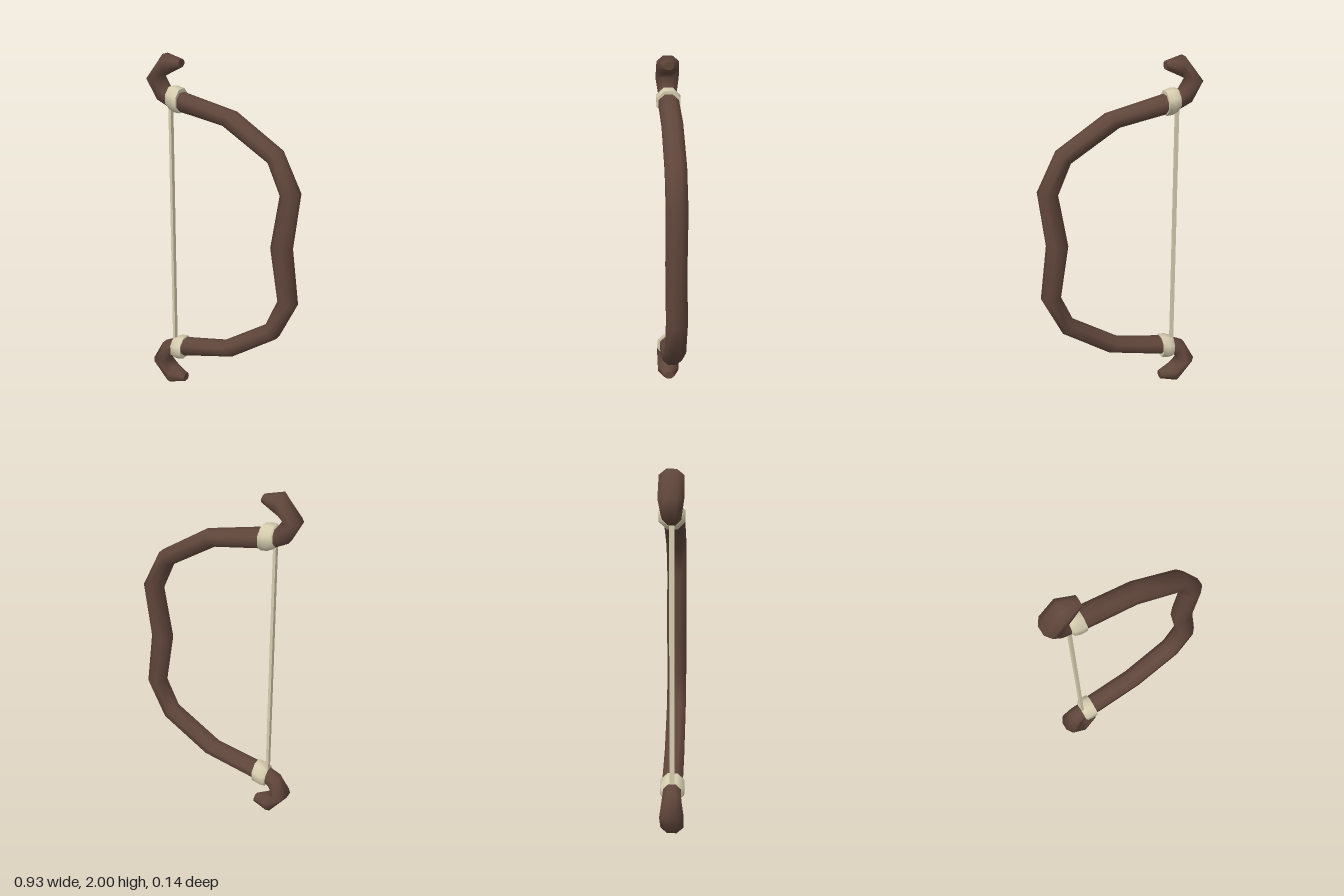
import * as THREE from 'three';

const SIDES = 8;

// Smooth capped tube through rings [leftX, leftY, rightX, rightY, halfDepth],
// where left and right are the two flanks seen along the direction of travel.
function sweep(rings) {
  const pos = [], idx = [];
  const k = 1 / Math.cos(Math.PI / SIDES);
  const ringPoints = ([lx, ly, rx, ry, d]) => {
    const out = [];
    for (let i = 0; i < SIDES; i++) {
      const a = ((i + 0.5) / SIDES) * Math.PI * 2;
      const c = Math.cos(a) * k * 0.5;
      out.push([(lx + rx) / 2 + (rx - lx) * c, (ly + ry) / 2 + (ry - ly) * c, Math.sin(a) * k * d]);
    }
    return out;
  };
  rings.forEach((r) => ringPoints(r).forEach((p) => pos.push(...p)));
  for (let r = 0; r < rings.length - 1; r++) {
    for (let i = 0; i < SIDES; i++) {
      const j = (i + 1) % SIDES;
      const a = r * SIDES + i, a2 = r * SIDES + j, b = a + SIDES, b2 = a2 + SIDES;
      idx.push(a, b, a2, a2, b, b2);
    }
  }
  // flat end caps on their own vertices
  [rings[0], rings[rings.length - 1]].forEach((ring, end) => {
    const base = pos.length / 3;
    ringPoints(ring).forEach((p) => pos.push(...p));
    for (let i = 1; i < SIDES - 1; i++) {
      if (end === 0) idx.push(base, base + i, base + i + 1);
      else idx.push(base, base + i + 1, base + i);
    }
  });
  const g = new THREE.BufferGeometry();
  g.setAttribute('position', new THREE.Float32BufferAttribute(pos, 3));
  g.setIndex(idx);
  g.computeVertexNormals();
  return g;
}

// The same rings reflected to the lower half, in reverse order of travel
const mirrorRings = (rings) =>
  rings.map(([lx, ly, rx, ry, d]) => [lx, 2 - ly, rx, 2 - ry, d]).reverse();

export function createModel() {
  const wood = new THREE.MeshStandardMaterial({ color: 0x60463b });
  wood.name = 'dark wood';
  const cream = new THREE.MeshStandardMaterial({ color: 0xd6cdaf });
  cream.name = 'cream cord';

  const group = new THREE.Group();
  group.name = 'bow';
  const add = (name, geometry, material) => {
    const m = new THREE.Mesh(geometry, material);
    m.name = name;
    group.add(m);
    return m;
  };

  // Bow stave: grip, upper limb and curled tip, then mirrored below
  const upper = [
    [0.36, 1.305, 0.465, 1.32, 0.057],
    [0.285, 1.475, 0.355, 1.54, 0.057],
    [0.01, 1.645, 0.075, 1.72, 0.057],
    [-0.27, 1.695, -0.255, 1.795, 0.057],
    [-0.33, 1.71, -0.315, 1.805, 0.048],
    [-0.408, 1.748, -0.338, 1.815, 0.052],
    [-0.468, 1.86, -0.378, 1.872, 0.066],
    [-0.36, 2.0, -0.335, 1.895, 0.064],
    [-0.257, 1.976, -0.257, 1.932, 0.03],
  ];
  const grip = [0.31, 1, 0.425, 1, 0.057];
  add('stave', sweep([...mirrorRings(upper), grip, ...upper]), wood);

  // Cord wraps where the string meets the limbs
  const wrap = [
    [-0.257, 1.684, -0.257, 1.814, 0.067],
    [-0.295, 1.688, -0.292, 1.824, 0.069],
    [-0.325, 1.702, -0.325, 1.824, 0.064],
    [-0.338, 1.712, -0.332, 1.812, 0.05],
  ];
  add('upperWrap', sweep(wrap), cream);
  add('lowerWrap', sweep(mirrorRings(wrap)), cream);

  // Bowstring
  const string = add('string', new THREE.BoxGeometry(0.016, 1.48, 0.027), cream);
  string.position.set(-0.33, 1, 0);

  return group;
}
